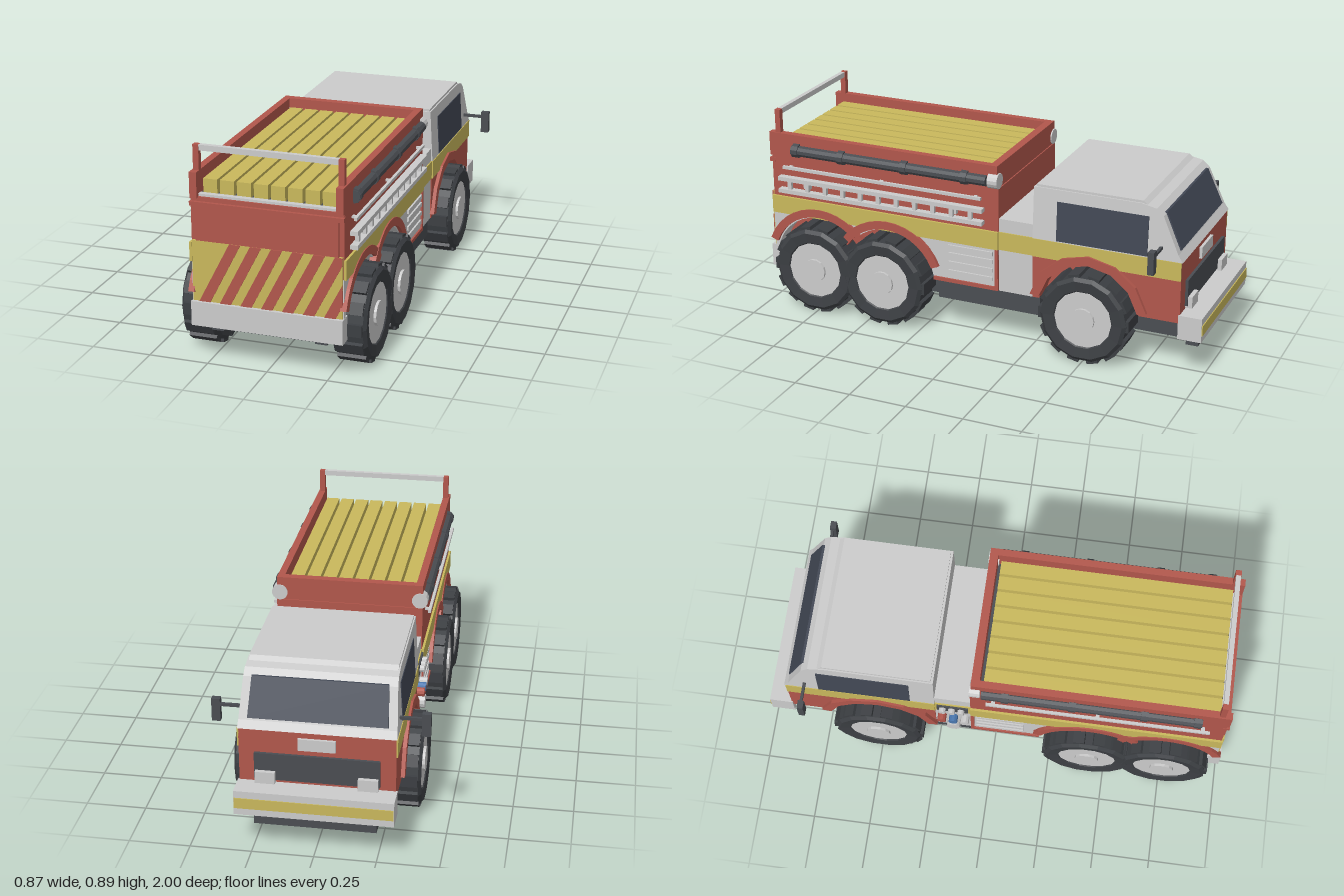
import * as THREE from 'three';

const RED = 0xb2574c, YELLOW = 0xc9b85c, GREY = 0xcccccc, DARK = 0x4a4d52,
  TYRE = 0x3c3f43, GLASS = 0x424855, BLUE = 0x4a78b0;
const WHEEL_Y = 0.2, FRONT_Z = -0.505, REAR_Z = [0.42, 0.75];

const mats = {};
const mat = (c) => (mats[c] ??= new THREE.MeshStandardMaterial({ color: c, flatShading: true }));

export function createModel() {
  const root = new THREE.Group();
  root.name = 'fireTruck';

  const add = (name, color, geo, parent = root) => {
    const m = new THREE.Mesh(geo, mat(color));
    m.name = name;
    parent.add(m);
    return m;
  };
  // Box given by its extents
  const box = (name, color, x0, x1, y0, y1, z0, z1) => add(name, color,
    new THREE.BoxGeometry(Math.abs(x1 - x0), y1 - y0, z1 - z0)
      .translate((x0 + x1) / 2, (y0 + y1) / 2, (z0 + z1) / 2));
  const pair = (name, color, x0, x1, ...r) => [1, -1].forEach((s) => box(name, color, s * x0, s * x1, ...r));
  // Side profile of [z, y] points extruded across x
  const profile = (pts, x0, x1) => new THREE.ExtrudeGeometry(
    new THREE.Shape(pts.map((p) => new THREE.Vector2(...p))), { depth: x1 - x0, bevelEnabled: false })
    .rotateY(-Math.PI / 2).translate(x1, 0, 0);
  const pairProfile = (name, color, pts, x0, x1) => {
    add(name, color, profile(pts, x0, x1));
    add(name, color, profile(pts, -x1, -x0));
  };
  // Cylinder along an axis
  const rod = (name, color, axis, r, len, x, y, z, n = 10, parent = root) => {
    const g = new THREE.CylinderGeometry(r, r, len, n);
    if (axis === 'x') g.rotateZ(Math.PI / 2);
    if (axis === 'z') g.rotateX(Math.PI / 2);
    return add(name, color, g.translate(x, y, z), parent);
  };
  // Side panel with wheel openings cut in its lower edge
  const archedPanel = (z0, z1, y0, y1, centres) => {
    const pts = [[z1, y1], [z0, y1], [z0, y0]], r = 0.222, a0 = Math.asin((y0 - WHEEL_Y) / r);
    for (const c of centres) for (let i = 0; i <= 14; i++) {
      const a = Math.PI - a0 - (i / 14) * (Math.PI - 2 * a0), z = c + r * Math.cos(a);
      if (centres.every((o) => Math.abs(z - c) <= Math.abs(z - o) + 1e-6)) pts.push([z, WHEEL_Y + r * Math.sin(a)]);
    }
    return [...pts, [z1, y0]];
  };
  // Curved band over a wheel
  const archBand = (c, r0, r1, n, a0) => {
    const arc = (r) => Array.from({ length: n + 1 }, (_, i) => {
      const a = a0 + (i / n) * (Math.PI - 2 * a0);
      return [c + r * Math.cos(a), WHEEL_Y + r * Math.sin(a)];
    });
    return [...arc(r1), ...arc(r0).reverse()];
  };

  // Chassis
  pair('chassisRail', DARK, 0.19, 0.24, 0.135, 0.235, -0.9, 0.97);
  pair('sideSill', DARK, 0.24, 0.29, 0.14, 0.23, -0.28, 0.19);
  for (const z of [-0.86, -0.66, -0.3, -0.02, 0.26, 0.59, 0.94]) box('crossMember', DARK, -0.2, 0.2, 0.14, 0.22, z - 0.025, z + 0.025);
  for (const z of [FRONT_Z, ...REAR_Z]) rod('axle', DARK, 'x', 0.03, 0.56, 0, WHEEL_Y, z);
  rod('airTank', GREY, 'z', 0.05, 0.42, -0.13, 0.2, -0.16, 12);

  // Wheels
  const tyreProfile = [[0.12, -0.055], [0.13, -0.066], [0.175, -0.072], [0.19, -0.06],
    [0.19, 0.06], [0.175, 0.072], [0.13, 0.066], [0.12, 0.055], [0.12, -0.055]].map((p) => new THREE.Vector2(...p));
  for (const z of [FRONT_Z, ...REAR_Z]) for (const s of [1, -1]) {
    const wheel = new THREE.Group();
    wheel.name = 'wheel';
    wheel.position.set(s * 0.313, WHEEL_Y, z);
    add('tyre', TYRE, new THREE.LatheGeometry(tyreProfile, 14).rotateZ(Math.PI / 2), wheel);
    for (let i = 0; i < 14; i++) {
      add('treadBlock', TYRE, new THREE.BoxGeometry(0.118, 0.016, 0.05).translate(0, 0.191, 0)
        .rotateX(((i + 0.5) / 14) * Math.PI * 2), wheel);
    }
    rod('rim', GREY, 'x', 0.127, 0.122, 0, 0, 0, 20, wheel);
    rod('hub', GREY, 'x', 0.052, 0.02, s * 0.062, 0, 0, 14, wheel);
    root.add(wheel);
  }

  // Cab lower part
  box('cabCore', RED, -0.235, 0.235, 0.225, 0.5, -0.9, -0.255);
  pairProfile('cabSide', RED, archedPanel(-0.9, -0.255, 0.232, 0.5, [FRONT_Z]), 0.235, 0.312);
  pairProfile('frontWheelArch', RED, archBand(FRONT_Z, 0.222, 0.262, 6, 0.2), 0.3, 0.328);
  pair('cabStripe', YELLOW, 0.311, 0.318, 0.42, 0.5, -0.9, -0.255);
  box('grille', DARK, -0.25, 0.25, 0.285, 0.4, -0.912, -0.898);
  box('frontPlate', GREY, -0.075, 0.075, 0.425, 0.475, -0.912, -0.898);
  pair('headlight', GREY, 0.165, 0.245, 0.275, 0.325, -0.93, -0.9);

  // Cab upper part, narrowing slightly towards the roof
  const taper = (geo) => {
    const p = geo.attributes.position;
    for (let i = 0; i < p.count; i++) p.setX(i, p.getX(i) * (1 - 0.18 * Math.max(0, p.getY(i) - 0.5)));
    geo.computeVertexNormals();
    return geo;
  };
  add('cabUpper', GREY, taper(profile([[-0.255, 0.5], [-0.255, 0.725], [-0.72, 0.725], [-0.785, 0.712],
    [-0.815, 0.685], [-0.885, 0.53], [-0.905, 0.5]], -0.315, 0.315)));
  add('roofPanel', GREY, profile([[-0.265, 0.72], [-0.265, 0.735], [-0.725, 0.735], [-0.745, 0.72]], -0.296, 0.296));
  const sideWindow = [[-0.36, 0.505], [-0.36, 0.675], [-0.755, 0.675], [-0.755, 0.505]];
  add('leftWindow', GLASS, taper(profile(sideWindow, 0.3, 0.318)));
  add('rightWindow', GLASS, taper(profile(sideWindow, -0.318, -0.3)));
  add('windscreen', GLASS, taper(profile([[-0.8, 0.69], [-0.819, 0.692], [-0.887, 0.54], [-0.87, 0.53]], -0.28, 0.28)));
  pair('mirrorArm', DARK, 0.3, 0.41, 0.545, 0.557, -0.818, -0.806);
  pair('mirror', DARK, 0.4, 0.435, 0.48, 0.577, -0.822, -0.796);

  // Front bumper
  box('frontBumper', GREY, -0.318, 0.318, 0.165, 0.27, -0.996, -0.895);
  box('bumperStripe', YELLOW, -0.316, 0.316, 0.195, 0.24, -1, -0.99);
  box('bumperStep', DARK, -0.245, 0.245, 0.11, 0.166, -0.962, -0.91);

  // Pump section between cab and body
  box('pumpSection', GREY, -0.308, 0.308, 0.23, 0.558, -0.256, -0.098);
  pair('pumpStripe', YELLOW, 0.305, 0.313, 0.42, 0.5, -0.256, -0.098);
  box('gaugePanel', DARK, -0.32, -0.3, 0.44, 0.49, -0.245, -0.11);
  for (const z of [-0.22, -0.18, -0.14]) rod('gauge', GREY, 'x', 0.015, 0.035, -0.322, 0.468, z);
  [RED, BLUE, GREY].forEach((c, i) => rod('hoseOutlet', c, 'x', 0.019, 0.04, -0.322, 0.36, -0.225 + i * 0.05));
  rod('suctionInlet', GREY, 'x', 0.03, 0.04, -0.32, 0.29, -0.175, 12);

  // Rear body
  box('bodyCore', RED, -0.235, 0.235, 0.225, 0.5, -0.1, 0.975);
  box('bodyUpper', RED, -0.312, 0.312, 0.42, 0.69, -0.1, 0.975);
  pairProfile('bodySide', GREY, archedPanel(-0.1, 0.98, 0.24, 0.42, REAR_Z), 0.235, 0.312);
  pair('bodyStripe', YELLOW, 0.311, 0.322, 0.42, 0.5, -0.1, 0.98);
  for (const z of REAR_Z) {
    const other = REAR_Z.find((o) => o !== z);
    pairProfile('rearWheelArch', RED, archBand(z, 0.228, 0.264, 14, 0.38), 0.3, 0.326 + (other > z ? 0.002 : 0));
  }
  pair('panelFrame', RED, 0.3, 0.32, 0.235, 0.42, -0.1, -0.085);
  pair('panelFrame', RED, 0.3, 0.32, 0.232, 0.248, -0.1, 0.2);
  for (const y of [0.285, 0.325, 0.365, 0.4]) pair('shutterRib', GREY, 0.31, 0.32, y - 0.013, y + 0.005, -0.075, 0.13);

  // Rear face with slanted warning stripes
  box('rearDoor', RED, -0.292, 0.292, 0.512, 0.662, 0.97, 0.984);
  box('rearEdge', RED, -0.314, 0.314, 0.655, 0.672, 0.96, 0.988);
  box('warningBoard', YELLOW, -0.308, 0.308, 0.26, 0.512, 0.965, 0.985);
  const h = 0.252, lean = 0.13, limit = 0.308;
  for (let i = 0; i < 7; i++) {
    const a = -0.282 + i * 0.086, b = a + 0.046, pts = [];
    const quad = [[a, 0], [b, 0], [b + lean, h], [a + lean, h]];
    quad.forEach((p, k) => {
      const q = quad[(k + 1) % 4];
      if (p[0] <= limit) pts.push(p);
      if ((p[0] <= limit) !== (q[0] <= limit)) {
        const t = (limit - p[0]) / (q[0] - p[0]);
        pts.push([limit, p[1] + t * (q[1] - p[1])]);
      }
    });
    add('warningStripe', RED, new THREE.ExtrudeGeometry(new THREE.Shape(pts.map((p) => new THREE.Vector2(...p))),
      { depth: 0.008, bevelEnabled: false }).translate(0, 0.26, 0.981));
  }
  box('rearBumper', GREY, -0.313, 0.313, 0.158, 0.26, 0.94, 1);
  for (const s of [1, -1]) add('towPoint', GREY, new THREE.ConeGeometry(0.04, 0.025, 4).rotateX(Math.PI).translate(s * 0.2, 0.147, 0.95));

  // Hose bed
  pair('bedWall', RED, 0.282, 0.312, 0.685, 0.79, -0.095, 0.985);
  box('bedFrontWall', RED, -0.29, 0.29, 0.685, 0.79, -0.095, -0.06);
  box('bedFloor', DARK, -0.285, 0.285, 0.688, 0.696, -0.07, 0.95);
  box('bedSill', GREY, -0.285, 0.285, 0.688, 0.7, 0.945, 0.968);
  for (let i = 0; i < 8; i++) {
    const x = (i - 3.5) * 0.0695;
    box('foldedHose', YELLOW, x - 0.029, x + 0.029, 0.696, 0.754, -0.045, 0.94);
  }
  pair('railPost', RED, 0.282, 0.306, 0.78, 0.893, 0.932, 0.956);
  box('railBar', GREY, -0.283, 0.283, 0.87, 0.893, 0.934, 0.954);

  // Side equipment: suction hoses, lamps, handrails and ladder
  for (const s of [1, -1]) {
    rod('suctionHose', DARK, 'z', 0.024, 0.92, s * 0.316, 0.722, 0.41);
    for (const z of [0.85, 0.63, 0.33, 0.05]) rod('hoseClamp', DARK, 'z', 0.031, 0.03, s * 0.313, 0.722, z);
    rod('sideLamp', GREY, 'z', 0.034, 0.045, s * 0.3, 0.722, -0.078, 14);
    box('handrail', GREY, s * 0.328, s * 0.34, 0.638, 0.651, -0.03, 0.91);
    for (const z of [0, 0.44, 0.88]) box('handrailMount', GREY, s * 0.31, s * 0.33, 0.64, 0.649, z - 0.008, z + 0.008);
  }
  for (const y of [0.538, 0.594]) box('ladderRail', GREY, 0.32, 0.35, y - 0.009, y + 0.009, -0.04, 0.93);
  for (let i = 0; i < 11; i++) box('ladderRung', GREY, 0.326, 0.342, 0.54, 0.592, 0.01 + i * 0.086, 0.028 + i * 0.086);
  for (const z of [0.1, 0.8]) box('ladderMount', GREY, 0.305, 0.33, 0.555, 0.577, z - 0.015, z + 0.015);

  return root;
}
